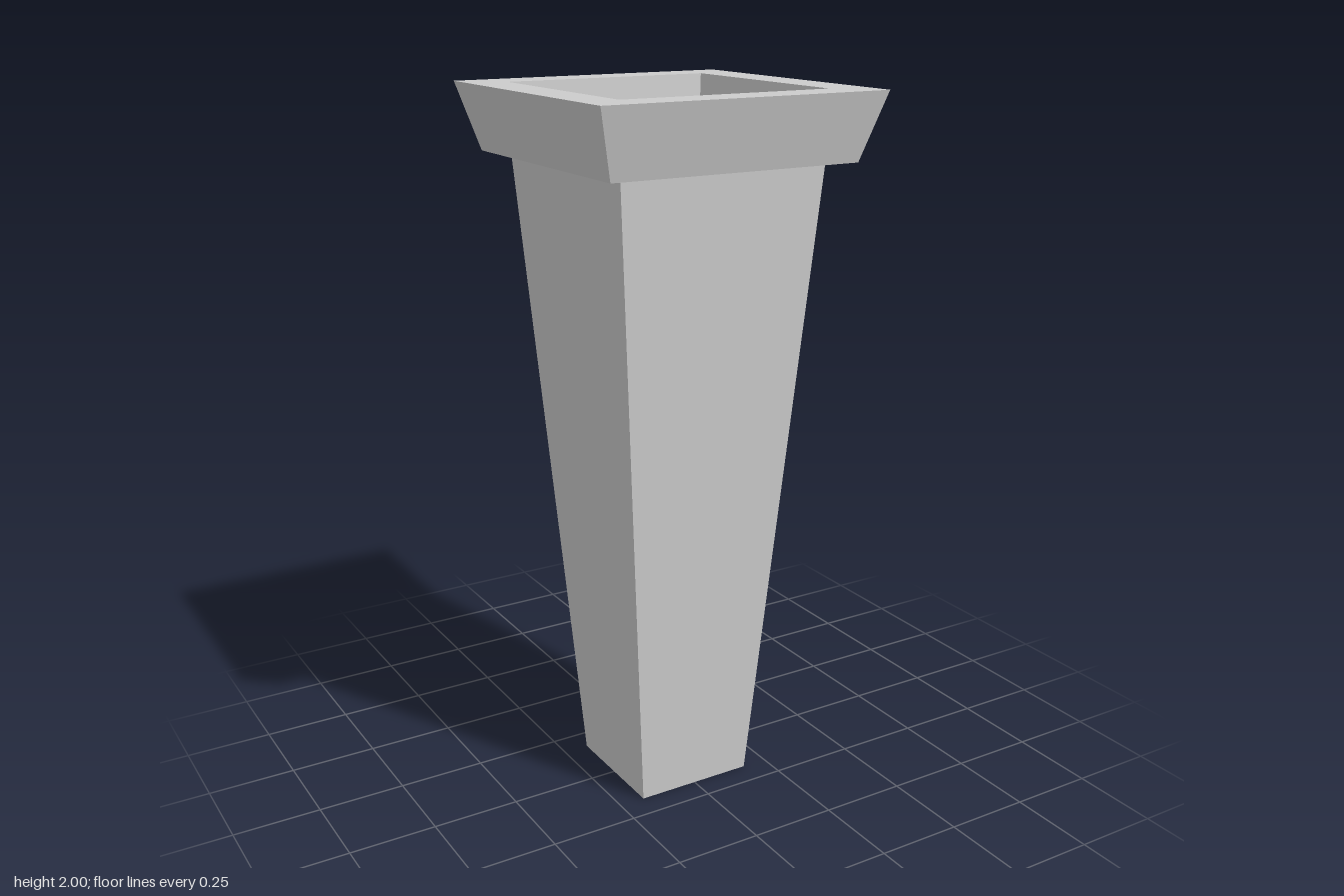
import * as THREE from 'three';

// Square part from a profile of [half width, height] points; bottom to top faces outward
function squareLathe(name, profile, material) {
  const points = profile.map(([half, y]) => new THREE.Vector2(half * Math.SQRT2, y));
  const geometry = new THREE.LatheGeometry(points, 4, Math.PI / 4).toNonIndexed();
  geometry.computeVertexNormals();
  const mesh = new THREE.Mesh(geometry, material);
  mesh.name = name;
  return mesh;
}

export function createModel() {
  const group = new THREE.Group();
  group.name = 'squarePlanter';
  const material = new THREE.MeshStandardMaterial({ color: 0xcccccc, flatShading: true });

  const rimBase = 1.815;
  const bodyHalf = 0.306;
  const openingHalf = 0.308;

  // Tapered outer walls with closed underside
  group.add(squareLathe('body', [[0, 0], [0.175, 0], [bodyHalf, rimBase]], material));

  // Flared collar: underside, sloping sides and flat top
  group.add(squareLathe('rim', [
    [bodyHalf, rimBase], [0.366, rimBase], [0.418, 2], [openingHalf, 2],
  ], material));

  // Recess running parallel to the outer walls, down to a floor about halfway
  group.add(squareLathe('basin', [[openingHalf, 2], [0.234, 0.98], [0, 0.98]], material));

  return group;
}
